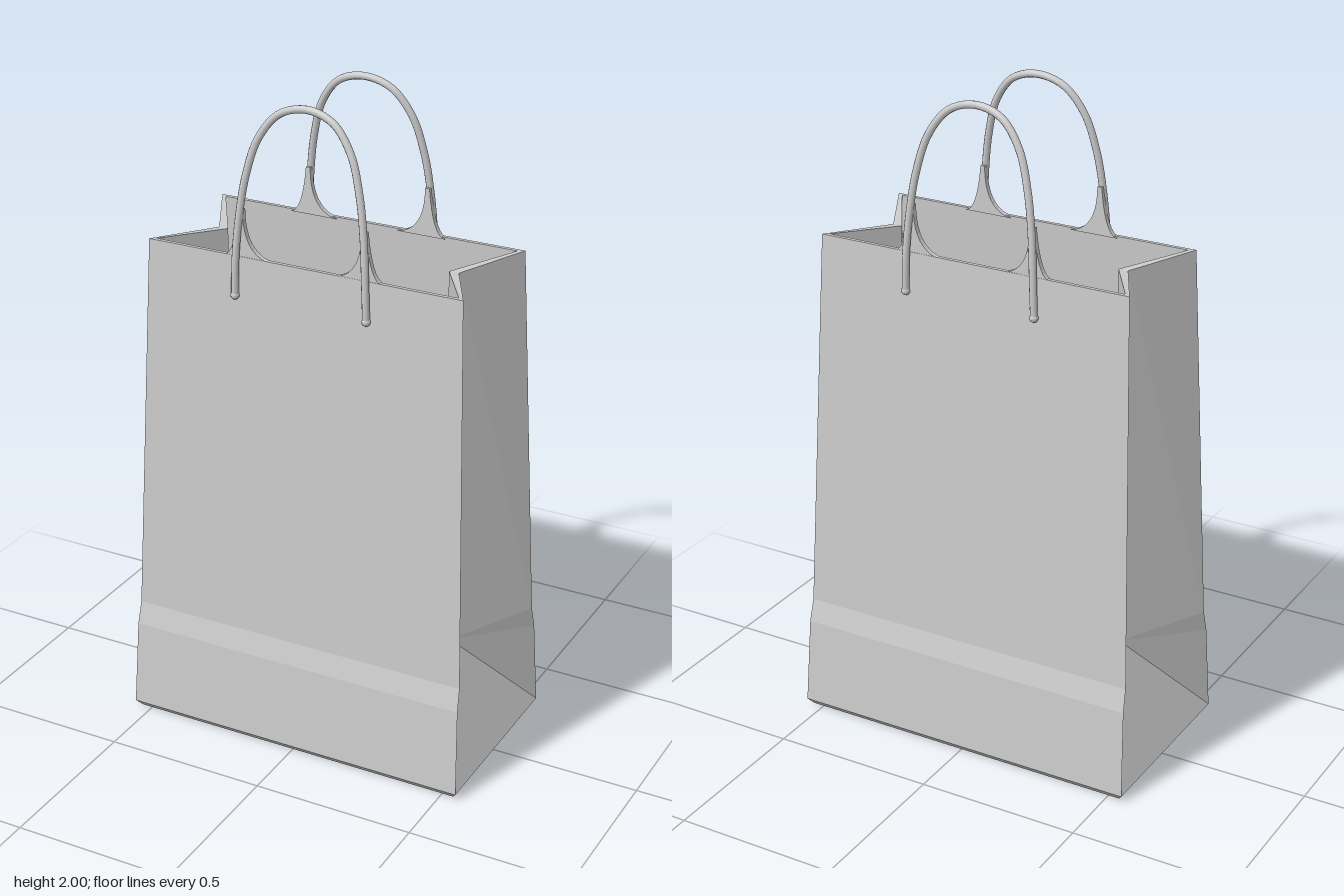
import * as THREE from 'three';

const grey = new THREE.MeshStandardMaterial({ color: 0xcccccc, side: THREE.DoubleSide });
const APEX = 0.345, FOLD = 0.385, FOLD_TOP = 1.525;
// height, half width, half depth of the bag at each crease
const LEVELS = [[0, 0.535, 0.28], [0.02, 0.55, 0.296], [0.29, 0.541, 0.277], [0.36, 0.538, 0.26], [1.54, 0.495, 0.207]];

function mesh(name, geometry) {
  const m = new THREE.Mesh(geometry, grey);
  m.name = name;
  return m;
}

// Builds triangles from a quarter of the bag mirrored to all four corners
function mirrored(name, polygons, flip) {
  const pos = [];
  for (const sx of [1, -1]) for (const sz of [1, -1]) {
    const reverse = (sx * sz < 0) !== flip;
    for (const poly of polygons) {
      for (let i = 1; i < poly.length - 1; i++) {
        const tri = [poly[0], poly[i], poly[i + 1]];
        if (reverse) tri.reverse();
        for (const [x, y, z] of tri) pos.push(x * sx, y, z * sz);
      }
    }
  }
  const g = new THREE.BufferGeometry();
  g.setAttribute('position', new THREE.Float32BufferAttribute(pos, 3));
  g.computeVertexNormals();
  return mesh(name, g);
}

// Corner points and gusset fold points for the outer or inner skin
function skin(inset) {
  const levels = LEVELS.map(([y, x, z], i) => [i < 2 ? y + inset : y, x - inset * 1.6, z - inset]);
  return {
    corner: levels.map(([y, x, z]) => [x, y, z]),
    front: levels.map(([y, , z]) => [0, y, z]),
    side: levels.map(([y, x]) => [x, y, 0]),
    apex: [FOLD - inset * 2.5, APEX, 0],
    fold: [FOLD - inset * 2.5, FOLD_TOP, 0],
  };
}

function skinPanels({ corner: c, front: f, side: s, apex, fold }) {
  const polys = [[[0, c[0][1], 0], s[0], c[0], f[0]]]; // base
  for (let i = 0; i < 4; i++) polys.push([f[i], c[i], c[i + 1], f[i + 1]]);
  polys.push([c[0], s[0], s[1], c[1]]); // bevelled base edge
  polys.push([c[1], s[1], apex], [c[1], apex, c[2]], [c[2], apex, c[3]]); // folded triangle
  polys.push([c[3], apex, fold, c[4]]); // pleat
  return polys;
}

// Cord handle on the front panel, from one outside end over to the other
function handle() {
  const group = new THREE.Group();
  const half = [[0.208, 1.425, 0.218], [0.204, 1.54, 0.218], [0.195, 1.66, 0.21], [0.177, 1.78, 0.2],
    [0.143, 1.89, 0.187], [0.083, 1.965, 0.176]];
  const pts = [...half.map(([x, y, z]) => [-x, y, z]), [0, 1.989, 0.172], ...half.slice().reverse()];
  const path = new THREE.CatmullRomCurve3(pts.map((p) => new THREE.Vector3(...p)));
  group.add(mesh('handleCord', new THREE.TubeGeometry(path, 72, 0.011, 10)));

  for (const s of [-1, 1]) {
    const end = mesh('cordEnd', new THREE.SphereGeometry(0.013, 12, 8));
    end.position.set(0.208 * s, 1.425, 0.218);
    group.add(end);

    // Flared paper web joining the cord to the rim
    const web = new THREE.Shape();
    web.moveTo(0.25 * s, 1.535);
    web.quadraticCurveTo(0.212 * s, 1.545, 0.2 * s, 1.68);
    web.lineTo(0.186 * s, 1.68);
    web.quadraticCurveTo(0.187 * s, 1.55, 0.1 * s, 1.535);
    web.closePath();
    const g = new THREE.ExtrudeGeometry(web, { depth: 0.016, bevelEnabled: false, curveSegments: 10 });
    g.translate(0, 0, 0.19);
    group.add(mesh('handleWeb', g));
  }
  return group;
}

export function createModel() {
  const model = new THREE.Group();
  const outer = skin(0), inner = skin(0.012);
  model.add(mirrored('bagOutside', skinPanels(outer), false));
  model.add(mirrored('bagInside', skinPanels(inner), true));

  // Rim closing the gap between the two skins
  model.add(mirrored('rim', [
    [outer.front[4], outer.corner[4], inner.corner[4], inner.front[4]],
    [outer.corner[4], outer.fold, inner.fold, inner.corner[4]],
  ], false));

  const front = handle();
  front.name = 'frontHandle';
  const back = handle();
  back.name = 'backHandle';
  back.rotation.y = Math.PI;
  model.add(front, back);
  return model;
}
